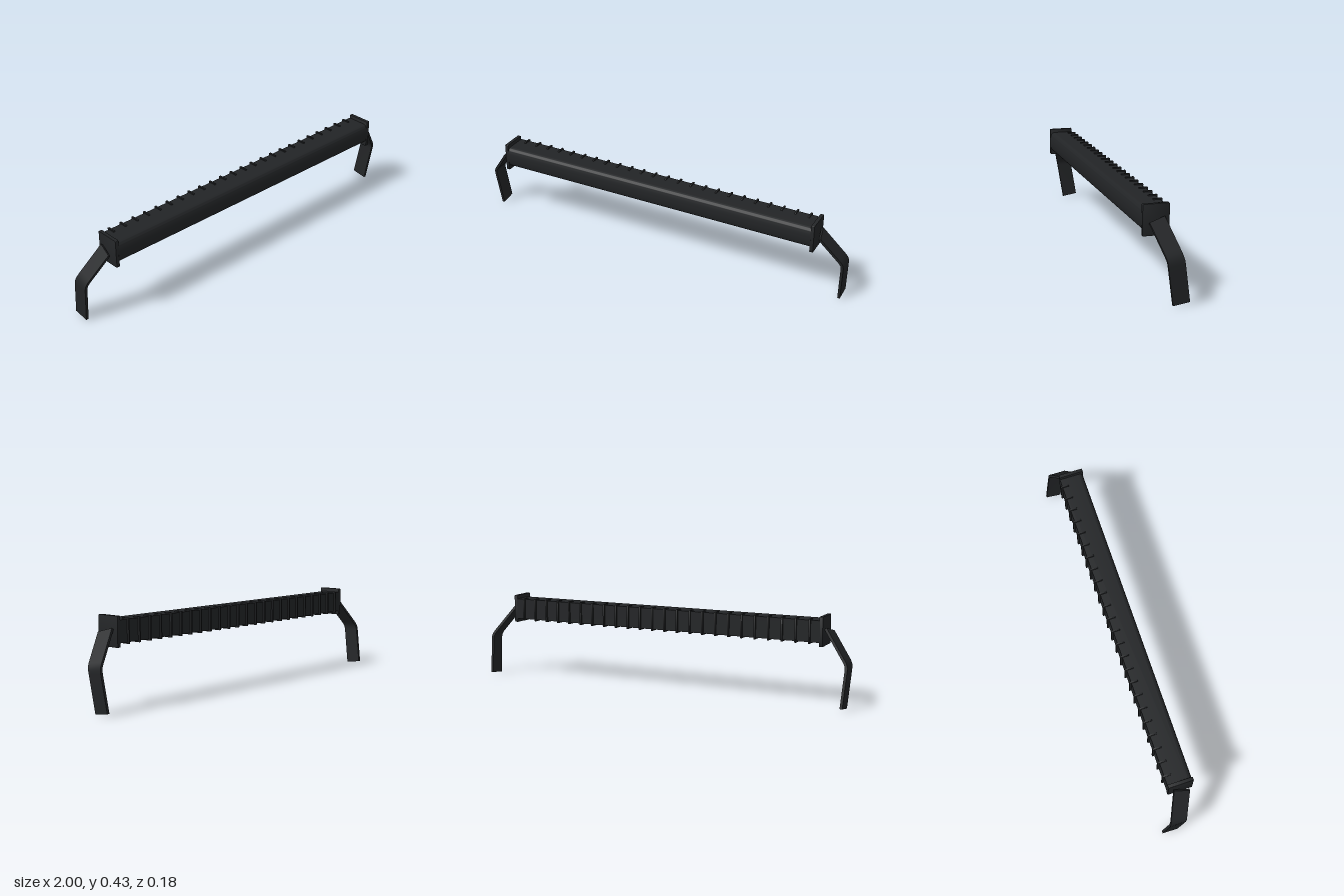
import * as THREE from 'three';
import { toCreasedNormals } from 'three/addons/utils/BufferGeometryUtils.js';

const dark = new THREE.MeshStandardMaterial({ color: 0x222426 });

function part(name, geometry, parent) {
  const mesh = new THREE.Mesh(geometry, dark);
  mesh.name = name;
  parent.add(mesh);
  return mesh;
}

// Extrudes a (z, y) profile along x, centred on x = 0
function alongX(shape, length, bevel = 0) {
  const g = new THREE.ExtrudeGeometry(shape, {
    depth: length - 2 * bevel, curveSegments: 10,
    bevelEnabled: bevel > 0, bevelSize: bevel, bevelThickness: bevel, bevelOffset: -bevel, bevelSegments: 2,
  });
  g.translate(0, 0, -length / 2 + bevel);
  g.rotateY(-Math.PI / 2);
  // the turn sends shape x to +z
  return toCreasedNormals(g, 0.6);
}

function roundedRect(z0, z1, y0, y1, r) {
  const s = new THREE.Shape();
  s.absarc(z1 - r, y0 + r, r, -Math.PI / 2, 0);
  s.absarc(z1 - r, y1 - r, r, 0, Math.PI / 2);
  s.absarc(z0 + r, y1 - r, r, Math.PI / 2, Math.PI);
  s.absarc(z0 + r, y0 + r, r, Math.PI, Math.PI * 1.5);
  return s;
}

// Housing: flat back, gently bulging front
function housingShape() {
  const s = new THREE.Shape();
  s.moveTo(-0.034, 0.308);
  s.lineTo(0.065, 0.308);
  s.quadraticCurveTo(0.082, 0.308, 0.087, 0.324);
  s.quadraticCurveTo(0.097, 0.361, 0.087, 0.398);
  s.quadraticCurveTo(0.082, 0.414, 0.065, 0.414);
  s.lineTo(-0.034, 0.414);
  return s;
}

// Bracket centre line seen from the front, as [y, x]
const bend = [[-0.01, 0.979], [0.185, 0.991], [0.2, 0.9915], [0.213, 0.989], [0.226, 0.982], [0.24, 0.971], [0.375, 0.868]];
function bendX(y) {
  let i = 1;
  while (i < bend.length - 1 && y > bend[i][0]) i++;
  const [y0, x0] = bend[i - 1], [y1, x1] = bend[i];
  return x0 + (x1 - x0) * (y - y0) / (y1 - y0);
}

// Flat strap lofted from paired front and back edge points [y, z]
function strapGeometry() {
  const front = [[0, -0.012], [0.18, 0.015], [0.195, 0.0175], [0.21, 0.021], [0.225, 0.0255], [0.24, 0.03], [0.353, 0.067]];
  const back = [[0.012, -0.09], [0.19, -0.063], [0.205, -0.0605], [0.22, -0.057], [0.235, -0.0525], [0.25, -0.048], [0.374, -0.008]];
  const half = 0.0065, pos = [], idx = [];
  const corner = ([y, z], side) => {
    const t = new THREE.Vector2(bendX(y + 0.012) - bendX(y - 0.012), 0.024).normalize();
    pos.push(bendX(y) + side * half * t.y, y - side * half * t.x, z);
  };
  front.forEach((f, i) => {
    corner(f, 1); corner(back[i], 1); corner(back[i], -1); corner(f, -1);
    if (i === 0) return;
    const a = (i - 1) * 4, b = i * 4;
    for (let k = 0; k < 4; k++) {
      const n = (k + 1) % 4;
      idx.push(a + k, a + n, b + n, a + k, b + n, b + k);
    }
  });
  const e = (front.length - 1) * 4;
  idx.push(0, 2, 1, 0, 3, 2, e, e + 1, e + 2, e, e + 2, e + 3);
  const g = new THREE.BufferGeometry();
  g.setAttribute('position', new THREE.Float32BufferAttribute(pos, 3));
  g.setIndex(idx);
  return g;
}

// Mirrors a geometry in x and keeps its faces outward
function mirrorX(g) {
  const m = g.clone().scale(-1, 1, 1);
  const a = m.index.array;
  for (let i = 0; i < a.length; i += 3) [a[i], a[i + 1]] = [a[i + 1], a[i]];
  return m;
}

export function createModel() {
  const model = new THREE.Group();
  model.name = 'lightBar';

  part('housing', alongX(housingShape(), 1.7), model);

  // Cooling fins along the back
  const fins = new THREE.Group();
  fins.name = 'coolingFins';
  model.add(fins);
  const finGeometry = alongX(roundedRect(-0.044, 0.0, 0.301, 0.42, 0.003), 0.008);
  const count = 24;
  for (let i = 0; i < count; i++) {
    part('fin', finGeometry, fins).position.x = -0.8 + 1.6 * i / (count - 1);
  }

  // End caps and mounting brackets
  const capGeometry = alongX(roundedRect(-0.034, 0.091, 0.288, 0.433, 0.005), 0.018, 0.002);
  const strap = strapGeometry();
  for (const side of [1, -1]) {
    const name = side > 0 ? 'left' : 'right';
    part(name + 'EndCap', capGeometry, model).position.x = side * 0.855;
    part(name + 'Bracket', toCreasedNormals(side > 0 ? strap : mirrorX(strap), 0.6), model);
  }
  return model;
}
